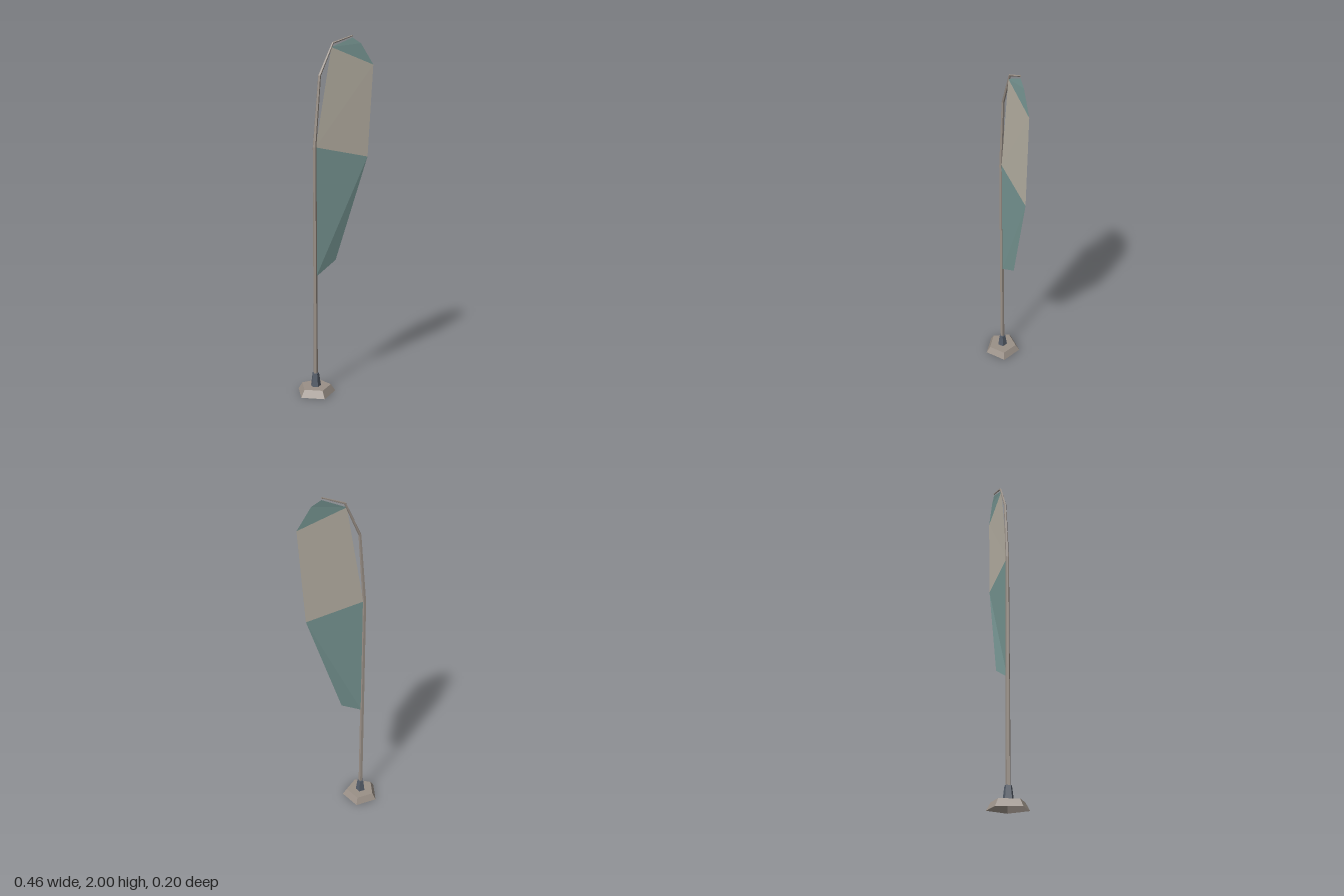
import * as THREE from 'three';

const CX = -0.127, CZ = -0.0125; // pole axis
const SIDES = 5;

const material = (name, color) => new THREE.MeshStandardMaterial({
  name, color, flatShading: true, side: THREE.DoubleSide,
});

// Five-sided shell turned around the pole axis, open underneath
function shell(name, profile, mat) {
  const points = profile.map(([r, y]) => new THREE.Vector2(r, y));
  const mesh = new THREE.Mesh(new THREE.LatheGeometry(points, SIDES), mat);
  mesh.name = name;
  mesh.position.set(CX, 0, CZ);
  return mesh;
}

// Tapering pole: one five-sided ring per path point [x, y, radius]
function poleGeometry(path) {
  const pos = [], index = [];
  path.forEach(([x, y, r], i) => {
    const a = path[Math.max(i - 1, 0)], b = path[Math.min(i + 1, path.length - 1)];
    const t = new THREE.Vector2(b[0] - a[0], b[1] - a[1]).normalize();
    for (let j = 0; j < SIDES; j++) {
      const ang = (j / SIDES) * Math.PI * 2;
      const s = Math.sin(ang) * r;
      pos.push(x + t.y * s, y - t.x * s, CZ + Math.cos(ang) * r);
      if (i > 0) {
        const k = (j + 1) % SIDES, lo = (i - 1) * SIDES, hi = i * SIDES;
        index.push(lo + j, lo + k, hi + k, lo + j, hi + k, hi + j);
      }
    }
  });
  // Tip cap
  const end = (path.length - 1) * SIDES;
  for (let j = 1; j < SIDES - 1; j++) index.push(end, end + j, end + j + 1);
  const geo = new THREE.BufferGeometry();
  geo.setAttribute('position', new THREE.Float32BufferAttribute(pos, 3));
  geo.setIndex(index);
  geo.computeVertexNormals();
  return geo;
}

// Cloth panel: triangle fan over its corners, counter-clockwise from the front
function panel(name, corners, mat) {
  const geo = new THREE.BufferGeometry();
  geo.setAttribute('position', new THREE.Float32BufferAttribute(corners.flat(), 3));
  const index = [];
  for (let i = 1; i < corners.length - 1; i++) index.push(0, i, i + 1);
  geo.setIndex(index);
  geo.computeVertexNormals();
  const mesh = new THREE.Mesh(geo, mat);
  mesh.name = name;
  return mesh;
}

export function createModel() {
  const stone = material('warm grey', 0x9a9087);
  const metal = material('dark slate', 0x555d69);
  const teal = material('teal cloth', 0x789794);
  const cream = material('cream cloth', 0xb8b2a5);

  const model = new THREE.Group();
  model.name = 'featherFlag';

  // Foot and socket
  model.add(shell('base', [[0.113, 0], [0.088, 0.04], [0, 0.04]], stone));
  model.add(shell('socket', [[0.03, 0.04], [0.0195, 0.115], [0.012, 0.115]], metal));

  // Bent pole
  const pole = new THREE.Mesh(poleGeometry([
    [CX, 0.04, 0.013], [CX, 1.4, 0.0105], [-0.095, 1.78, 0.008],
    [-0.015, 1.952, 0.006], [0.105, 1.996, 0.004],
  ]), stone);
  pole.name = 'pole';
  model.add(pole);

  // Flag outline, clockwise from the foot of the cloth
  const foot = [-0.12, 0.68, -0.013], lowCorner = [0.01, 0.76, -0.028];
  const midOuter = [0.2, 1.34, -0.004], highOuter = [0.23, 1.845, 0];
  const shoulder = [0.155, 1.957, -0.007], tip = [0.105, 1.985, -0.012];
  const highInner = [-0.025, 1.93, -0.01], midInner = [-0.12, 1.4, -0.0125];

  const flag = new THREE.Group();
  flag.name = 'flag';
  flag.add(
    panel('lowerPanel', [foot, lowCorner, midOuter, midInner], teal),
    panel('middlePanel', [midInner, midOuter, highOuter, highInner], cream),
    panel('topPanel', [highInner, highOuter, shoulder, tip], teal),
  );
  model.add(flag);
  return model;
}
